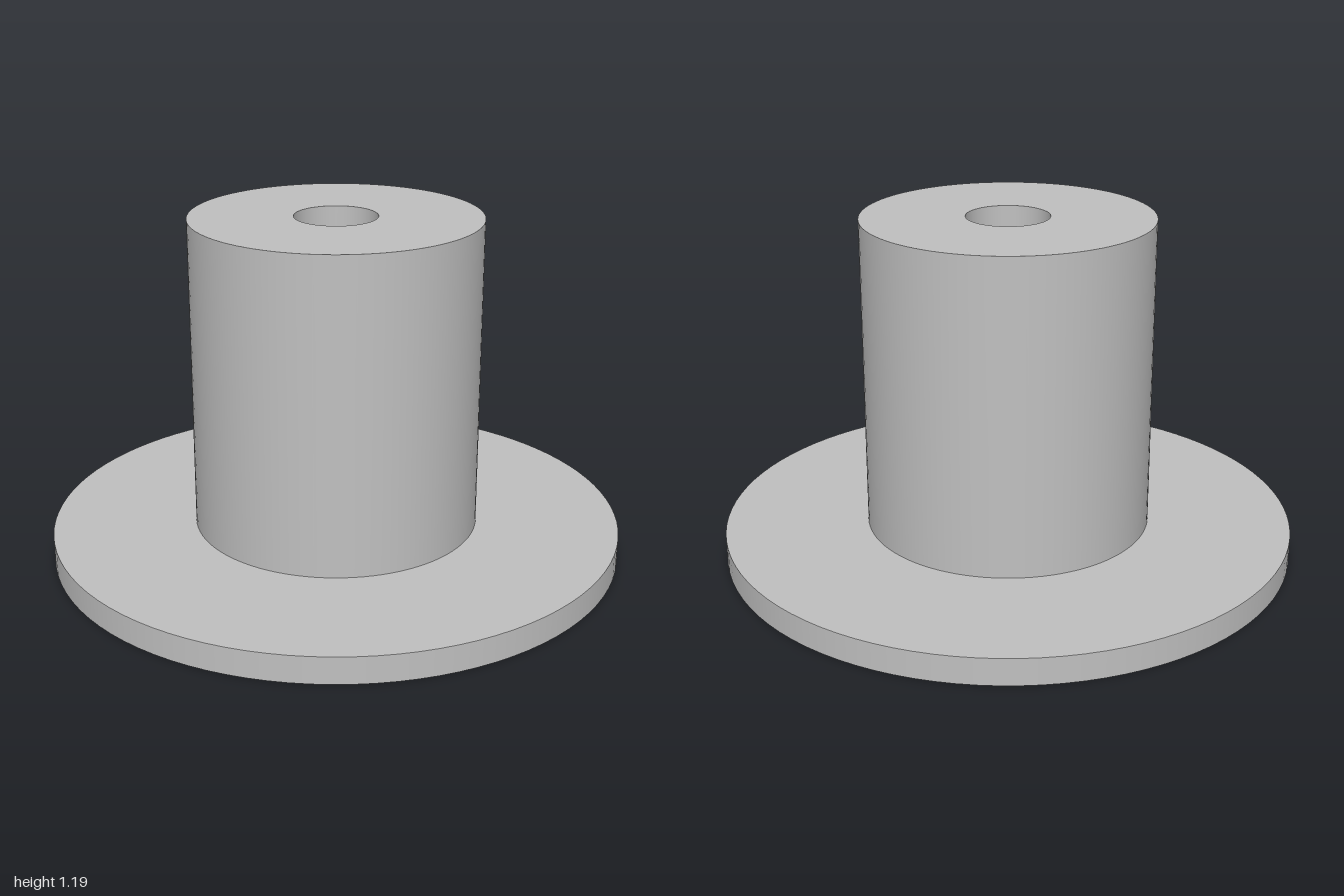
import * as THREE from 'three';
import { mergeGeometries } from 'three/addons/utils/BufferGeometryUtils.js';

const SEGMENTS = 96;
const BASE_R = 1, BASE_H = 0.094;
const STEM_R = 0.5, TOP = 1.188;
const HOLE_R = 0.143, HOLE_DEPTH = 0.092;

// Revolve each profile segment separately so the edges stay sharp and the walls smooth
function turned(name, profile, material) {
  const bands = [];
  for (let i = 0; i < profile.length - 1; i++) {
    const ends = [profile[i], profile[i + 1]].map(([r, y]) => new THREE.Vector2(r, y));
    bands.push(new THREE.LatheGeometry(ends, SEGMENTS));
  }
  const mesh = new THREE.Mesh(mergeGeometries(bands), material);
  mesh.name = name;
  return mesh;
}

export function createModel() {
  const group = new THREE.Group();
  group.name = 'flangedKnob';

  const grey = new THREE.MeshStandardMaterial({ color: 0xc0c0c0 });
  grey.name = 'plain grey';

  // Flat round flange
  group.add(turned('baseFlange', [
    [0, 0], [BASE_R, 0], [BASE_R, BASE_H], [STEM_R, BASE_H],
  ], grey));

  // Upright stem with a shallow blind hole in its top
  group.add(turned('stem', [
    [STEM_R, BASE_H], [STEM_R, TOP], [HOLE_R, TOP],
    [HOLE_R, TOP - HOLE_DEPTH], [0, TOP - HOLE_DEPTH],
  ], grey));

  return group;
}
